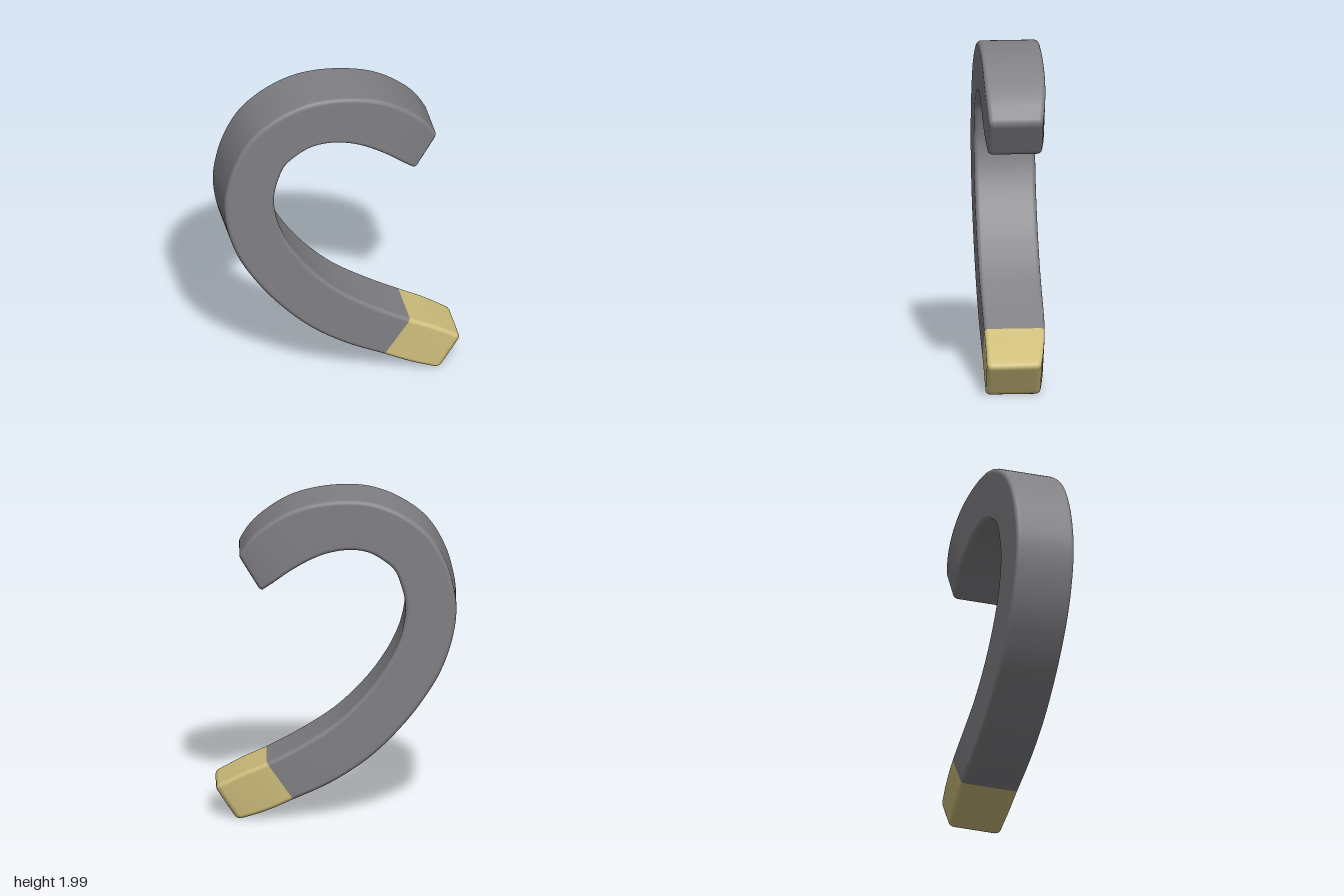
import * as THREE from 'three';

const curve = (pts) => new THREE.CatmullRomCurve3(
  pts.map(([x, y]) => new THREE.Vector3(x, y, 0)), false, 'centripetal');

// Outer and inner edge of the hook, paired point for point from the upper end to the tip
const outer = curve([[0.58, 1.65], [0.505, 1.765], [0.39, 1.865], [0.26, 1.94], [0.1, 1.985], [-0.08, 2.0],
  [-0.23, 1.982], [-0.4, 1.91], [-0.55, 1.79], [-0.65, 1.62], [-0.7, 1.45], [-0.715, 1.31], [-0.69, 1.13],
  [-0.62, 0.93], [-0.52, 0.76], [-0.39, 0.59], [-0.2, 0.4], [0.02, 0.25], [0.25, 0.14], [0.42, 0.06], [0.585, 0.0]]);
const inner = curve([[0.447, 1.428], [0.37, 1.485], [0.27, 1.56], [0.14, 1.635], [0.03, 1.675], [-0.09, 1.69],
  [-0.19, 1.675], [-0.28, 1.625], [-0.35, 1.56], [-0.39, 1.46], [-0.41, 1.37], [-0.412, 1.3], [-0.39, 1.17],
  [-0.34, 1.04], [-0.25, 0.89], [-0.15, 0.765], [0, 0.62], [0.2, 0.485], [0.41, 0.37], [0.56, 0.3], [0.722, 0.21]]);

const R = 0.026;      // edge rounding
const ARC = 4;        // steps per rounded corner
const SEAM = 0.9;     // where the tip colour begins
const END = 0.009;    // curve parameter covered by the end rounding

// Rounded rectangle between the two edges, with the sides narrowing toward the ends
function ring(t, inset) {
  const o = outer.getPoint(t), i = inner.getPoint(t);
  const mid = o.clone().add(i).multiplyScalar(0.5);
  const dir = o.clone().sub(i);
  const half = dir.length() / 2 - inset;
  dir.normalize();
  const up = Math.max(0, 1 - t / 0.13) ** 2, low = Math.max(0, (t - 0.85) / 0.15) ** 2;
  const front = 0.177 - 0.018 * up + 0.008 * low - inset;
  const back = -0.187 + 0.03 * up + 0.05 * low + inset;
  const r = Math.max(0.006, R - inset * 0.5);
  const corners = [[half - r, front - r], [-half + r, front - r], [-half + r, back + r], [half - r, back + r]];
  const pts = [];
  corners.forEach(([u, z], k) => {
    for (let s = 0; s <= ARC; s++) {
      const a = (k + s / ARC) * Math.PI / 2;
      const p = mid.clone().addScaledVector(dir, u + r * Math.cos(a));
      p.z = z + r * Math.sin(a);
      pts.push(p);
    }
  });
  return pts;
}

export function createModel() {
  const grey = new THREE.MeshStandardMaterial({ color: 0x808084 });
  grey.name = 'grey';
  const gold = new THREE.MeshStandardMaterial({ color: 0xcfbe7c });
  gold.name = 'pale gold';

  // Stations along the hook, with extra ones for the rounded ends
  const stations = [];
  const round = [0, 0.3, 0.6, 0.85, 1].map((s) => {
    const a = s * Math.PI / 2;
    return [END * (1 - Math.cos(a)), R * (1 - Math.sin(a))];
  });
  stations.push([0, R + 0.012], ...round);
  for (let k = 1; k < 100; k++) stations.push([k / 100, 0]);
  const tail = [...round].reverse().map(([t, d]) => [1 - t, d]);
  // drop the last regular station, which falls inside the end rounding
  stations.pop();
  stations.push(...tail, [1, R + 0.012]);

  const rings = stations.map(([t, d]) => ring(t, d));
  const n = rings[0].length, m = rings.length;
  const verts = rings.flat();
  const capCentre = (pts) => pts.reduce((s, p) => s.add(p), new THREE.Vector3()).divideScalar(n);
  verts.push(capCentre(rings[0]), capCentre(rings[m - 1]));

  const body = [], tip = [];
  for (let j = 0; j < n; j++) {
    const k = (j + 1) % n;
    body.push(m * n, j, k);
    tip.push(m * n + 1, (m - 1) * n + k, (m - 1) * n + j);
    for (let i = 0; i < m - 1; i++) {
      const a = i * n + j, b = i * n + k, c = a + n, d = b + n;
      (stations[i][0] < SEAM - 1e-6 ? body : tip).push(a, c, b, b, c, d);
    }
  }

  // One smooth skin, coloured in two groups
  const geo = new THREE.BufferGeometry().setFromPoints(verts);
  geo.setIndex([...body, ...tip]);
  geo.addGroup(0, body.length, 0);
  geo.addGroup(body.length, tip.length, 1);
  geo.computeVertexNormals();

  const hook = new THREE.Mesh(geo, [grey, gold]);
  hook.name = 'curvedHookWithTip';
  const model = new THREE.Group();
  model.name = 'hook';
  model.add(hook);
  return model;
}
